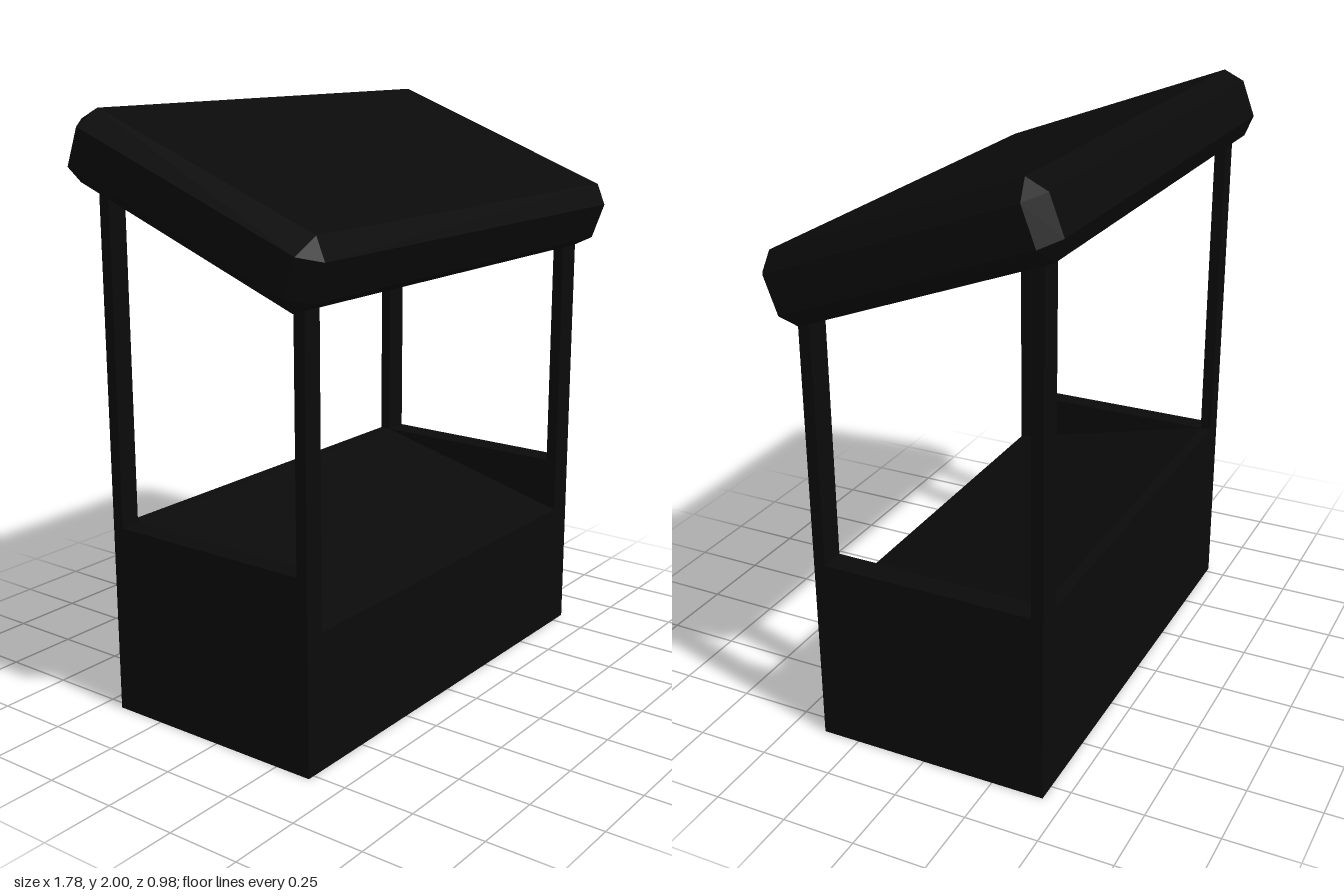
import * as THREE from 'three';
import { ConvexGeometry } from 'three/addons/geometries/ConvexGeometry.js';

const dark = new THREE.MeshStandardMaterial({ color: 0x0a0a0a, flatShading: true });

// Box given by its min and max corners
function box(name, [x0, y0, z0], [x1, y1, z1]) {
  const mesh = new THREE.Mesh(new THREE.BoxGeometry(x1 - x0, y1 - y0, z1 - z0), dark);
  mesh.position.set((x0 + x1) / 2, (y0 + y1) / 2, (z0 + z1) / 2);
  mesh.name = name;
  return mesh;
}

// Box from half sizes with every edge and corner chamfered
function chamferedBox(hx, hy, hz, bx, by, bz) {
  const points = [];
  for (const sx of [-1, 1]) for (const sy of [-1, 1]) for (const sz of [-1, 1]) {
    points.push(
      new THREE.Vector3(sx * hx, sy * (hy - by), sz * (hz - bz)),
      new THREE.Vector3(sx * (hx - bx), sy * hy, sz * (hz - bz)),
      new THREE.Vector3(sx * (hx - bx), sy * (hy - by), sz * hz));
  }
  return new ConvexGeometry(points);
}

export function createModel() {
  const group = new THREE.Group();
  group.name = 'marketStall';

  const front = 0.38, back = -0.43, wallTop = 0.65, post = 0.04;
  const sides = [['right', -0.775, -0.705], ['left', 0.728, 0.815]];

  // Side walls with a front and a back post on each
  for (const [side, x0, x1] of sides) {
    group.add(box(side + 'Wall', [x0, 0, back], [x1, wallTop, front]));
    group.add(box(side + 'FrontPost', [x0, wallTop, front - post], [x1, 1.56, front]));
    group.add(box(side + 'BackPost', [x0, wallTop, back], [x1, 1.85, back + post]));
  }

  // Counter sloping down to the front between the walls (profile x is -z)
  const profile = new THREE.Shape([
    [-front, 0], [-back, 0], [-back, wallTop], [-back - post, wallTop], [-front, 0.46],
  ].map(([x, y]) => new THREE.Vector2(x, y)));
  const inner0 = sides[0][2], inner1 = sides[1][1];
  const counter = new THREE.Mesh(
    new THREE.ExtrudeGeometry(profile, { depth: inner1 - inner0, bevelEnabled: false }), dark);
  counter.rotation.y = Math.PI / 2;
  counter.position.x = inner0;
  counter.name = 'slopedCounter';
  group.add(counter);

  // Thick chamfered roof, tilted down to the front
  const roof = new THREE.Mesh(chamferedBox(0.89, 0.122, 0.5, 0.07, 0.057, 0.054), dark);
  roof.rotation.x = 0.361;
  roof.position.set(0, 1.7325, 0);
  roof.name = 'roof';
  group.add(roof);

  return group;
}
